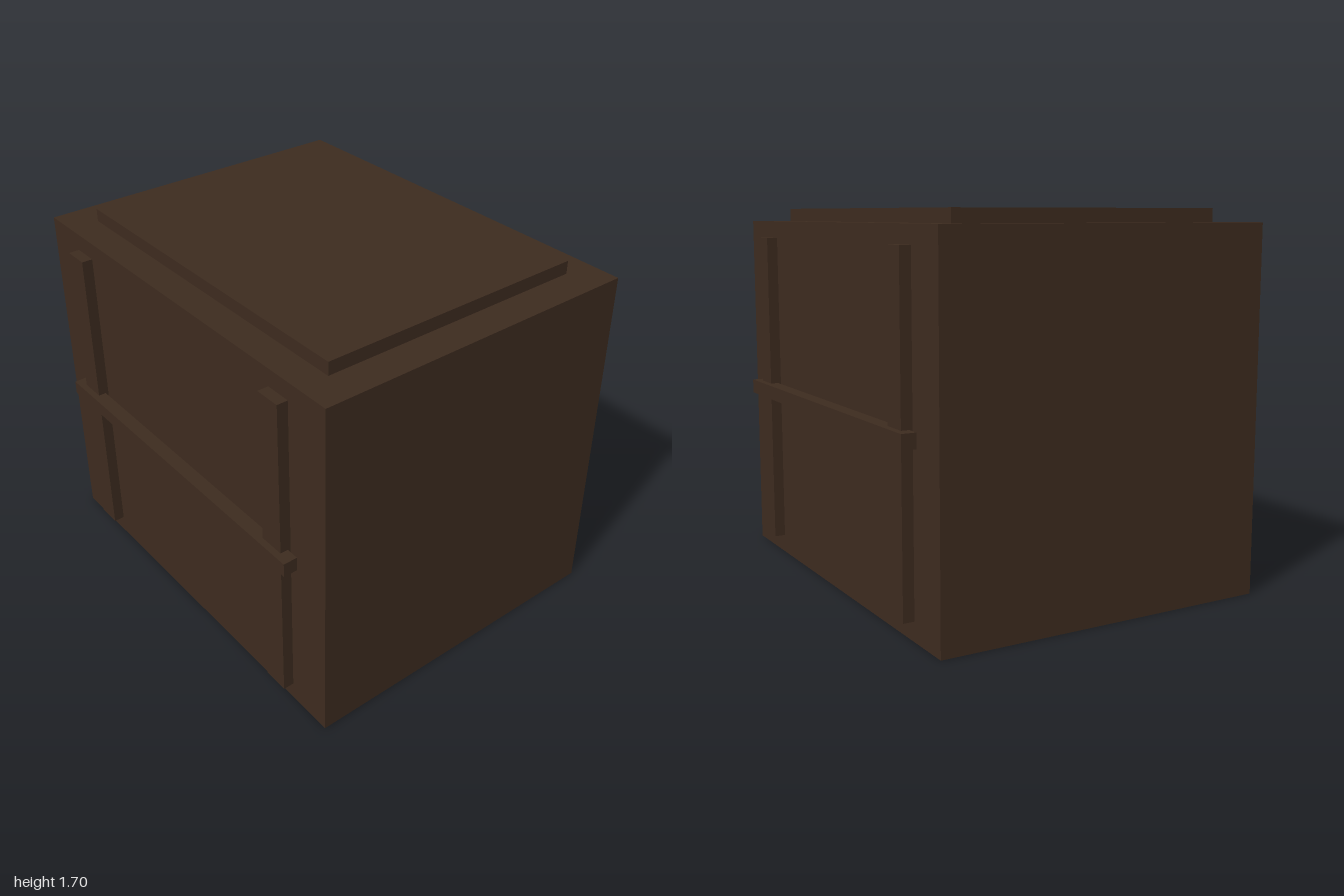
import * as THREE from 'three';

export function createModel() {
  const group = new THREE.Group();
  const darkWood = new THREE.MeshStandardMaterial({ color: 0x3d2b1f });
  darkWood.name = 'darkWood';

  const addBox = (name, [w, h, d], [x, y, z]) => {
    const mesh = new THREE.Mesh(new THREE.BoxGeometry(w, h, d), darkWood);
    mesh.name = name;
    mesh.position.set(x, y, z);
    group.add(mesh);
  };

  // Crate body and raised lid panel
  addBox('body', [2, 1.64, 1.56], [0, 0.82, 0]);
  addBox('lid', [1.68, 0.08, 1.28], [0, 1.66, 0]);

  // Two upright battens and a cross rail on the front and the back
  for (const [side, s] of [['front', 1], ['back', -1]]) {
    addBox(`${side}LeftBatten`, [0.12, 1.475, 0.07], [0.72, 0.823, s * 0.795]);
    addBox(`${side}RightBatten`, [0.12, 1.475, 0.07], [-0.72, 0.823, s * 0.795]);
    addBox(`${side}Rail`, [1.68, 0.065, 0.065], [0, 0.823, s * 0.827]);
  }

  return group;
}
